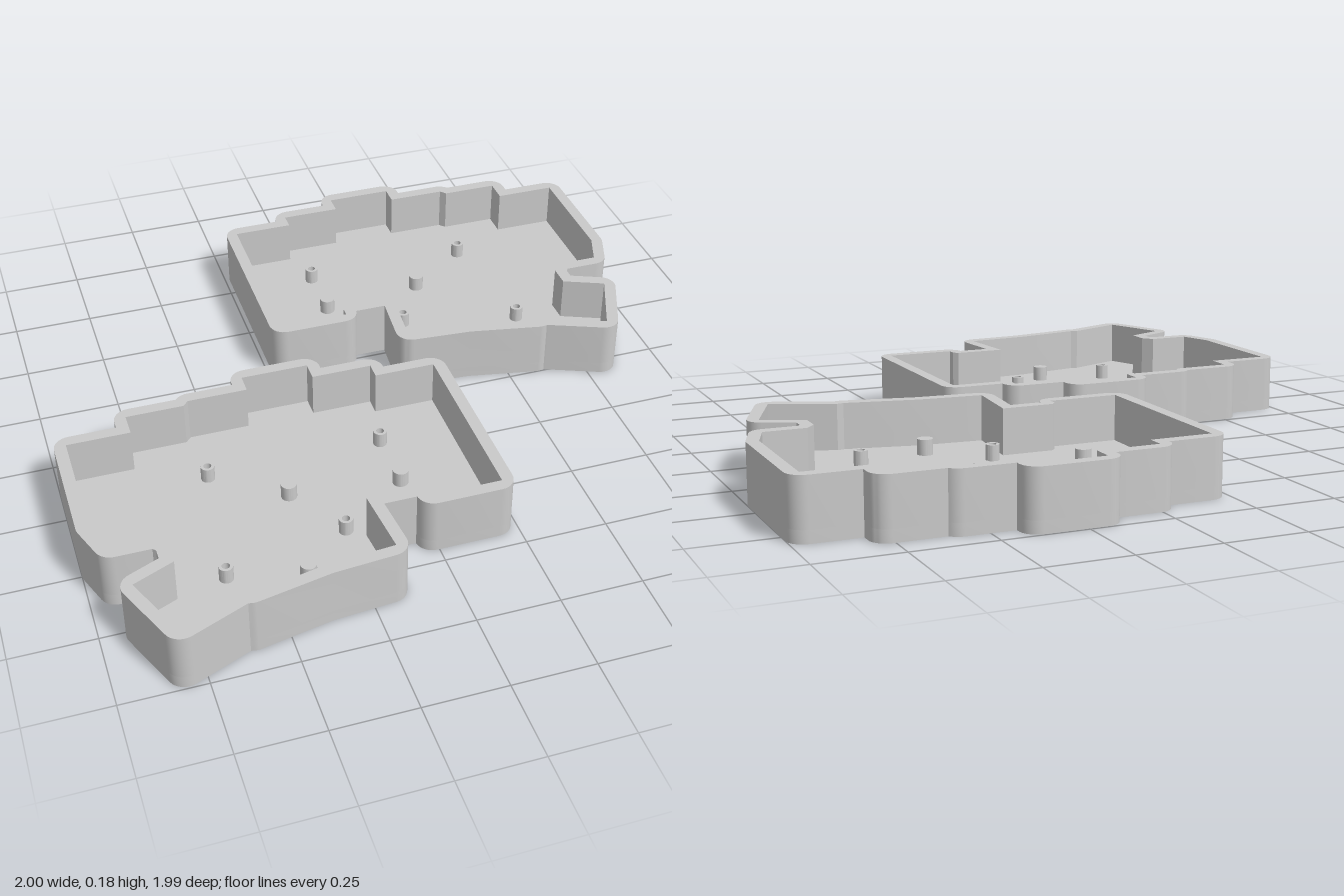
import * as THREE from 'three';
import { toCreasedNormals } from 'three/addons/utils/BufferGeometryUtils.js';

const HEIGHT = 0.179, FLOOR = 0.037, WALL = 0.037, CORNER = 0.05, POST_TOP = 0.085;

// Inner outline of one tray as [x, z], clockwise seen from above
const INNER = [
  [-0.198, -0.842], [-0.008, -0.842], [-0.008, -0.895], [0.18, -0.895],
  [0.18, -0.958], [0.39, -0.958], [0.39, -0.895], [0.575, -0.895],
  [0.592, -0.876], [0.77, -0.876], [0.77, -0.799], [0.963, -0.799],
  [0.963, -0.425], [0.927, -0.323], [0.797, -0.323], [0.769, -0.29],
  [0.769, -0.22], [0.894, -0.166], [0.812, 0.036], [0.622, -0.043],
  [0.6, -0.038], [0.377, -0.082], [0.177, -0.097], [0.195, -0.305],
  [0.034, -0.305], [0.02, -0.29], [0.02, -0.26], [-0.198, -0.26],
];
const SCREW_POSTS = [[0.027, -0.69], [0.569, -0.69], [0.245, -0.342], [0.621, -0.257]];
const PEGS = [[0.026, -0.498], [0.36, -0.538], [0.4, -0.195]];

// Push an outline outwards by r: arcs of radius CORNER on convex corners, mitres on concave ones
function offsetOutline(pts, r) {
  const n = pts.length, out = [];
  const normal = (a, b) => {
    const dx = b[0] - a[0], dz = b[1] - a[1], l = Math.hypot(dx, dz);
    return [dz / l, -dx / l];
  };
  pts.forEach((p, i) => {
    const n1 = normal(pts[(i + n - 1) % n], p), n2 = normal(p, pts[(i + 1) % n]);
    const cross = n1[0] * n2[1] - n1[1] * n2[0], dot = n1[0] * n2[0] + n1[1] * n2[1];
    const along = (d) => [0, 1].map((k) => p[k] + (d * (n1[k] + n2[k])) / (1 + dot));
    if (cross > 0) {
      const [cx, cz] = along(r - CORNER);
      const start = Math.atan2(n1[1], n1[0]), turn = Math.atan2(cross, dot);
      const steps = Math.max(1, Math.ceil(turn / 0.2));
      for (let k = 0; k <= steps; k++) {
        const a = start + (turn * k) / steps;
        out.push([cx + CORNER * Math.cos(a), cz + CORNER * Math.sin(a)]);
      }
    } else {
      out.push(along(r));
    }
  });
  return out;
}

const circle = (r) => Array.from({ length: 24 }, (_, i) => {
  const a = (i / 24) * Math.PI * 2;
  return [r * Math.cos(a), r * Math.sin(a)];
});

// Plan points as a loop that runs in the wanted direction
function loop(list, clockwise) {
  const pts = list.map(([x, z]) => new THREE.Vector2(x, -z));
  return THREE.ShapeUtils.isClockWise(pts) === clockwise ? pts : pts.reverse();
}

// Upright prism from a plan outline with an optional hole
function prism(outline, hole, y0, y1) {
  const shape = new THREE.Shape(loop(outline, true));
  if (hole) shape.holes.push(new THREE.Path(loop(hole, false)));
  const geo = new THREE.ExtrudeGeometry(shape, { depth: y1 - y0, bevelEnabled: false });
  geo.rotateX(-Math.PI / 2).translate(0, y0, 0);
  return toCreasedNormals(geo, 0.4);
}

export function createModel() {
  const model = new THREE.Group();
  model.name = 'splitCase';
  const grey = new THREE.MeshStandardMaterial({ color: 0xcacaca });
  grey.name = 'grey';

  const outer = offsetOutline(INNER, WALL);
  const screwPost = prism(circle(0.021), circle(0.012), FLOOR, POST_TOP);
  const peg = prism(circle(0.024), null, FLOOR, POST_TOP);

  // One tray, mirrored across x when side is -1
  function tray(name, side, z) {
    const group = new THREE.Group();
    group.name = name;
    group.position.z = z;
    const mirror = (list) => list.map(([px, pz]) => [px * side, pz]);
    const add = (part, geo, px = 0, pz = 0) => {
      const mesh = new THREE.Mesh(geo, grey);
      mesh.name = part;
      mesh.position.set(px, 0, pz);
      group.add(mesh);
    };
    add('floor', prism(mirror(outer), null, 0, FLOOR));
    add('wall', prism(mirror(outer), mirror(INNER), FLOOR, HEIGHT));
    mirror(SCREW_POSTS).forEach(([px, pz]) => add('screwPost', screwPost, px, pz));
    mirror(PEGS).forEach(([px, pz]) => add('supportPeg', peg, px, pz));
    model.add(group);
  }
  tray('leftTray', 1, 0);
  tray('rightTray', -1, 0.925);
  return model;
}
